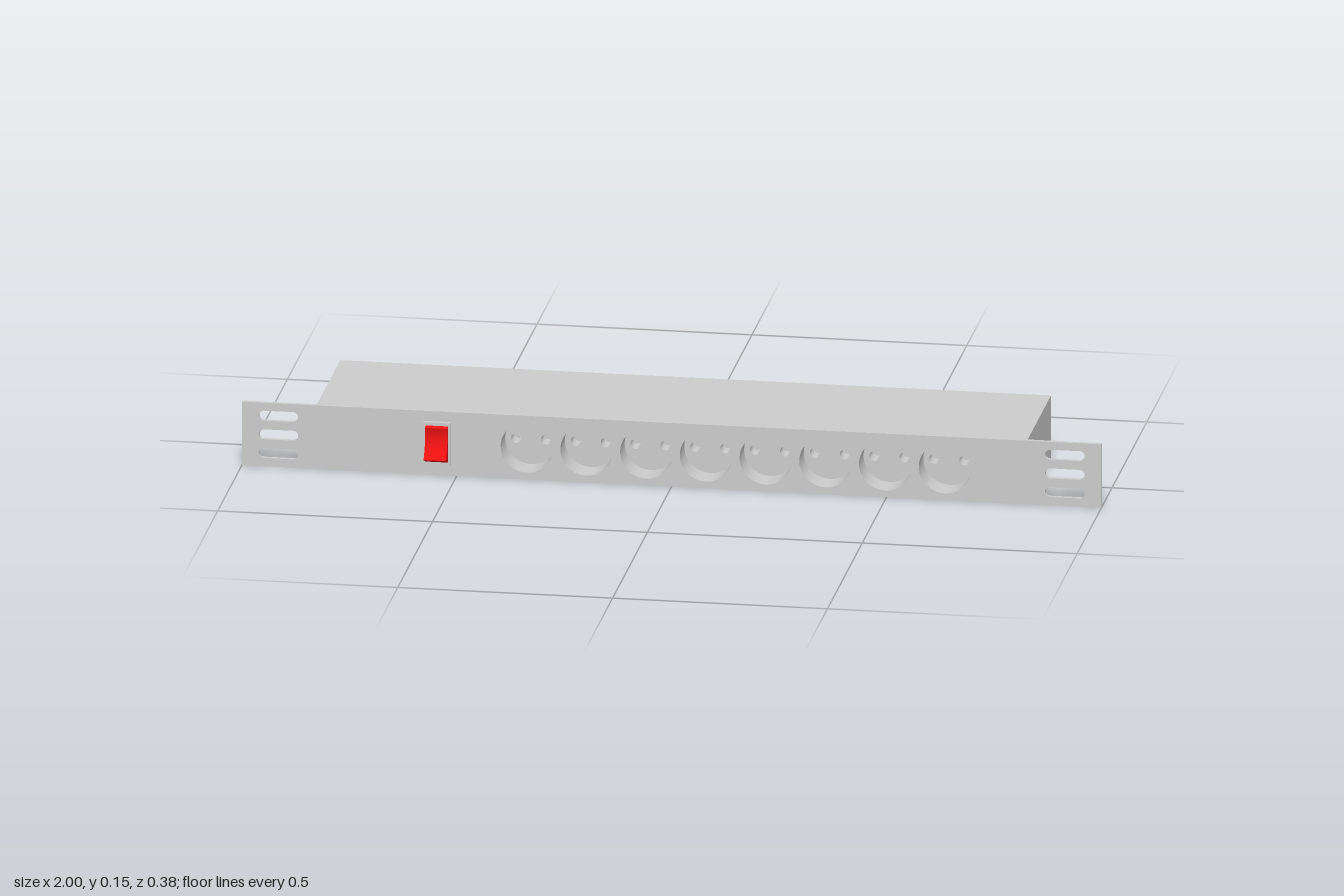
import * as THREE from 'three';

const H = 0.153, FRONT = 0.152, PLATE = 0.01, BACK = -0.192, MID = 0.077;
const SOCKETS = Array.from({ length: 8 }, (_, i) => -0.337 + i * 0.139);
const WELL_R = 0.061, WELL_DEPTH = 0.065, PIN_R = 0.012, PIN_X = 0.035, PIN_DEPTH = 0.04;

const grey = new THREE.MeshStandardMaterial({ color: 0xcccccc });
const greyDouble = new THREE.MeshStandardMaterial({ color: 0xcccccc, side: THREE.DoubleSide });
const red = new THREE.MeshStandardMaterial({ color: 0xee1111 });

function add(parent, name, geometry, material, x = 0, y = 0, z = 0) {
  const mesh = new THREE.Mesh(geometry, material);
  mesh.name = name;
  mesh.position.set(x, y, z);
  parent.add(mesh);
  return mesh;
}

function circlePath(x, y, r) {
  return new THREE.Path().absarc(x, y, r, 0, Math.PI * 2, true);
}

// Horizontal slot with round ends
function slotPath(x, y, halfLength, r) {
  const path = new THREE.Path();
  path.absarc(x + halfLength - r, y, r, -Math.PI / 2, Math.PI / 2, false);
  path.absarc(x - halfLength + r, y, r, Math.PI / 2, Math.PI * 1.5, false);
  path.closePath();
  return path;
}

// Open tube running back from z = 0
function tube(r, depth) {
  return new THREE.CylinderGeometry(r, r, depth, 40, 1, true)
    .rotateX(Math.PI / 2).translate(0, 0, -depth / 2);
}

// Front plate with mounting slots and socket openings
function createPlate() {
  const shape = new THREE.Shape();
  shape.moveTo(-1, 0).lineTo(1, 0).lineTo(1, H).lineTo(-1, H).closePath();
  for (const side of [-1, 1])
    for (const y of [0.032, 0.077, 0.122])
      shape.holes.push(slotPath(side * 0.915, y, 0.046, 0.012));
  for (const x of SOCKETS) shape.holes.push(circlePath(x, MID, WELL_R));
  return new THREE.ExtrudeGeometry(shape, { depth: PLATE, bevelEnabled: false, curveSegments: 20 });
}

// Housing box, open at the front where the plate closes it
function createHousing() {
  const depth = FRONT - PLATE - BACK;
  const box = new THREE.BoxGeometry(1.654, H, depth);
  const index = Array.from(box.index.array);
  index.splice(24, 6);
  box.setIndex(index);
  box.clearGroups();
  return box;
}

// Recessed round socket with two contact holes
function createSocket() {
  const socket = new THREE.Group();
  socket.name = 'socket';
  add(socket, 'socketWall', tube(WELL_R, WELL_DEPTH - PLATE), greyDouble, 0, 0, -PLATE);
  const floor = new THREE.Shape().absarc(0, 0, WELL_R, 0, Math.PI * 2, false);
  for (const side of [-1, 1]) {
    const x = side * PIN_X;
    floor.holes.push(circlePath(x, 0, PIN_R));
    add(socket, 'contactHole', tube(PIN_R, PIN_DEPTH), greyDouble, x, 0, -WELL_DEPTH);
    add(socket, 'contactHoleEnd', new THREE.CircleGeometry(PIN_R, 24), grey, x, 0, -WELL_DEPTH - PIN_DEPTH);
  }
  add(socket, 'socketFloor', new THREE.ShapeGeometry(floor, 20), greyDouble, 0, 0, -WELL_DEPTH);
  return socket;
}

// Rocker switch: side profile drawn in z and y, extruded across x
function createSwitch() {
  const group = new THREE.Group();
  group.name = 'powerSwitch';
  add(group, 'switchFrame', new THREE.BoxGeometry(0.064, 0.103, 0.011), grey, 0, 0.0775, FRONT + 0.0055);
  const profile = new THREE.Shape();
  profile.moveTo(0.162, 0.034).lineTo(0.192, 0.047);
  profile.quadraticCurveTo(0.162, 0.077, 0.172, 0.118);
  profile.lineTo(0.162, 0.122).closePath();
  const rocker = new THREE.ExtrudeGeometry(profile, { depth: 0.052, bevelEnabled: false, curveSegments: 16 });
  rocker.translate(0, 0, -0.026).rotateY(-Math.PI / 2);
  add(group, 'switchRocker', rocker, red);
  group.position.x = -0.545;
  return group;
}

export function createModel() {
  const model = new THREE.Group();
  model.name = 'rackPowerStrip';
  add(model, 'frontPlate', createPlate(), grey, 0, 0, FRONT - PLATE);
  add(model, 'housing', createHousing(), grey, 0, H / 2, (FRONT - PLATE + BACK) / 2);
  for (const x of SOCKETS) {
    const socket = createSocket();
    socket.position.set(x, MID, FRONT);
    model.add(socket);
  }
  model.add(createSwitch());
  return model;
}
